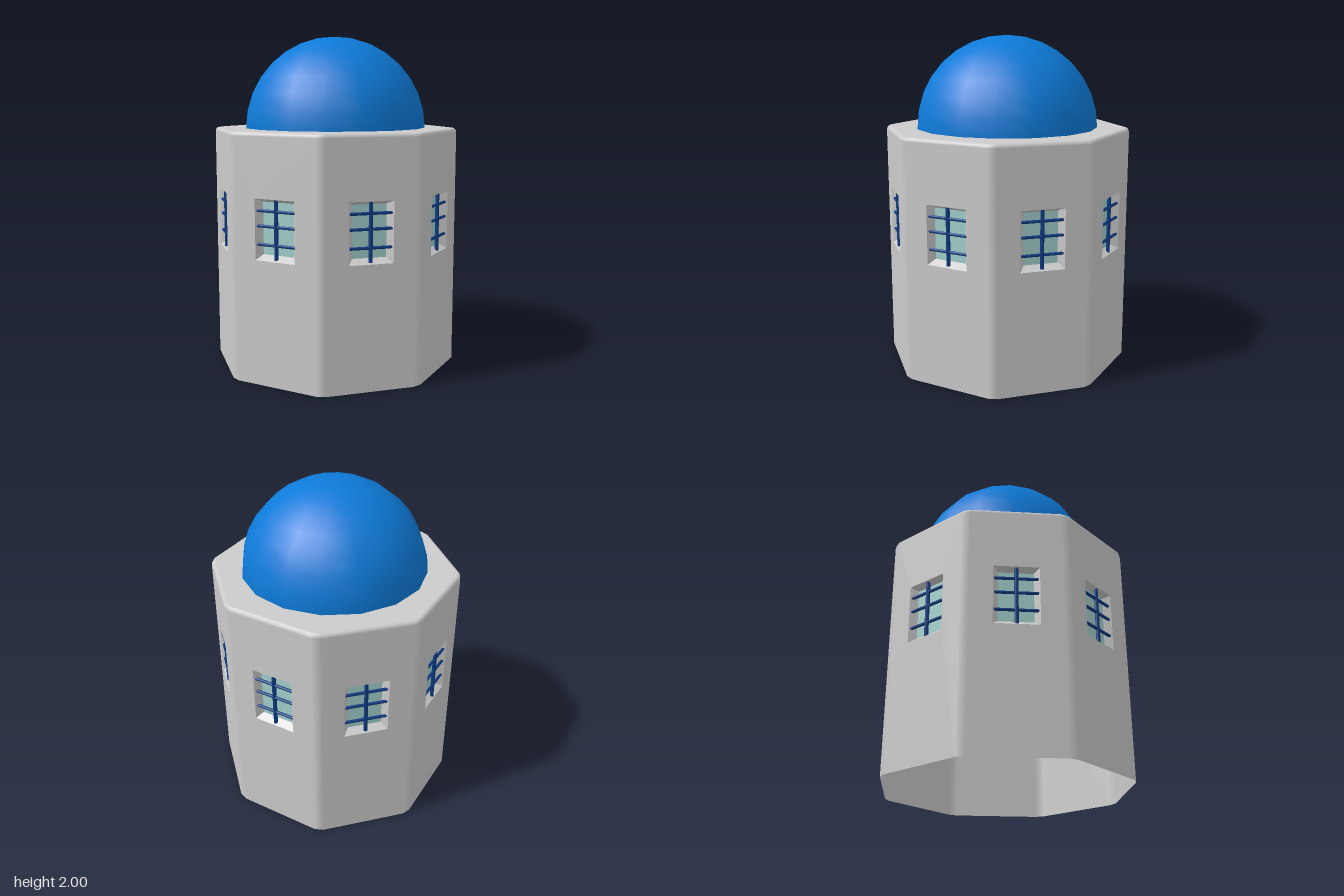
import * as THREE from 'three';

const APOTHEM = 0.7, HALF = 0.26, WALL_TOP = 1.425, BEVEL = 0.025, SIDES = 8;
const DOME_RADIUS = 0.555;

const mat = (color, side = THREE.FrontSide) => new THREE.MeshStandardMaterial({ color, side });
const plaster = mat(0xcccccc, THREE.DoubleSide);
const domeBlue = mat(0x0d7ad8, THREE.DoubleSide);
const barBlue = mat(0x0d3a80);
const glass = mat(0xa2d0cc, THREE.DoubleSide);

function mesh(name, geometry, material) {
  const m = new THREE.Mesh(geometry, material);
  m.name = name;
  return m;
}

// Octagon with chamfered corners: 16 points, each with its side's outward direction
function outline(inset) {
  const pts = [];
  for (let k = 0; k < SIDES; k++) {
    const a = (k / SIDES) * Math.PI * 2, s = Math.sin(a), c = Math.cos(a);
    for (const h of [-HALF, HALF]) {
      pts.push({ x: s * (APOTHEM - inset) + c * h, z: c * (APOTHEM - inset) - s * h, s, c });
    }
  }
  return pts;
}

// Rounded upright corners and the rounded rim that runs around the roof
function cornersAndRim() {
  const rows = [{ y: 0, t: 0 }];
  for (let i = 0; i <= 3; i++) {
    const t = (i / 3) * Math.PI / 2;
    rows.push({ y: WALL_TOP + BEVEL * Math.sin(t), t });
  }
  const pos = [], nor = [], idx = [], n = SIDES * 2;
  rows.forEach(({ y, t }, j) => {
    outline(BEVEL * (1 - Math.cos(t))).forEach(p => {
      pos.push(p.x, y, p.z);
      nor.push(p.s * Math.cos(t), Math.sin(t), p.c * Math.cos(t));
    });
    if (j === rows.length - 1) return;
    for (let i = 0; i < n; i++) {
      if (j === 0 && i % 2 === 0) continue; // flat sides are separate panels
      const a = j * n + i, b = j * n + (i + 1) % n;
      idx.push(a, b, b + n, a, b + n, a + n);
    }
  });
  const g = new THREE.BufferGeometry();
  g.setAttribute('position', new THREE.Float32BufferAttribute(pos, 3));
  g.setAttribute('normal', new THREE.Float32BufferAttribute(nor, 3));
  g.setIndex(idx);
  return g;
}

const rect = (w, y0, y1, z = 0) => [[-w, y0, z], [w, y0, z], [w, y1, z], [-w, y1, z]];
const opening = rect(0.13, 0.73, 1.08, APOTHEM);
const paneEdge = rect(0.1, 0.76, 1.06, APOTHEM - 0.04);

// Flat wall panel with a window hole
function wallPanel() {
  const toPoints = r => r.map(([x, y]) => new THREE.Vector2(x, y));
  const shape = new THREE.Shape(toPoints(rect(HALF, 0, WALL_TOP)));
  shape.holes.push(new THREE.Path(toPoints(opening)));
  return new THREE.ShapeGeometry(shape).translate(0, 0, APOTHEM);
}

// Four sloping faces from the opening in to the pane
function windowReveal() {
  const pos = [];
  for (let i = 0; i < 4; i++) {
    const j = (i + 1) % 4;
    const [a, b, c, d] = [opening[i], opening[j], paneEdge[j], paneEdge[i]];
    pos.push(...a, ...b, ...c, ...a, ...c, ...d);
  }
  const g = new THREE.BufferGeometry();
  g.setAttribute('position', new THREE.Float32BufferAttribute(pos, 3));
  g.computeVertexNormals();
  return g;
}

export function createModel() {
  const model = new THREE.Group();
  model.name = 'domedTower';

  // Walls and roof
  model.add(mesh('cornersAndRim', cornersAndRim(), plaster));
  const roofShape = new THREE.Shape(outline(BEVEL).map(p => new THREE.Vector2(p.x, -p.z)));
  const roof = new THREE.ShapeGeometry(roofShape).rotateX(-Math.PI / 2);
  model.add(mesh('roof', roof.translate(0, WALL_TOP + BEVEL, 0), plaster));

  // Dome
  const dome = mesh('dome',
    new THREE.SphereGeometry(DOME_RADIUS, 16, 8, 0, Math.PI * 2, 0, Math.PI / 2), domeBlue);
  dome.position.y = 2 - DOME_RADIUS;
  model.add(dome);

  // One panel with a barred window on each side
  const panelGeo = wallPanel(), revealGeo = windowReveal();
  const paneGeo = new THREE.PlaneGeometry(0.2, 0.3).translate(0, 0.91, APOTHEM - 0.04);
  const uprightGeo = new THREE.CylinderGeometry(0.012, 0.012, 0.34, 8)
    .translate(0, 0.908, APOTHEM - 0.016);
  const crossGeo = new THREE.CylinderGeometry(0.009, 0.009, 0.25, 8).rotateZ(Math.PI / 2);
  for (let k = 0; k < SIDES; k++) {
    const side = new THREE.Group();
    side.name = 'wallSide';
    side.add(
      mesh('wallPanel', panelGeo, plaster),
      mesh('windowReveal', revealGeo, plaster),
      mesh('windowPane', paneGeo, glass),
      mesh('uprightBar', uprightGeo, barBlue));
    for (const y of [0.82, 0.925, 1.012]) {
      const bar = mesh('crossBar', crossGeo, barBlue);
      bar.position.set(0, y, APOTHEM - 0.016);
      side.add(bar);
    }
    side.rotation.y = (k / SIDES) * Math.PI * 2;
    model.add(side);
  }
  return model;
}
